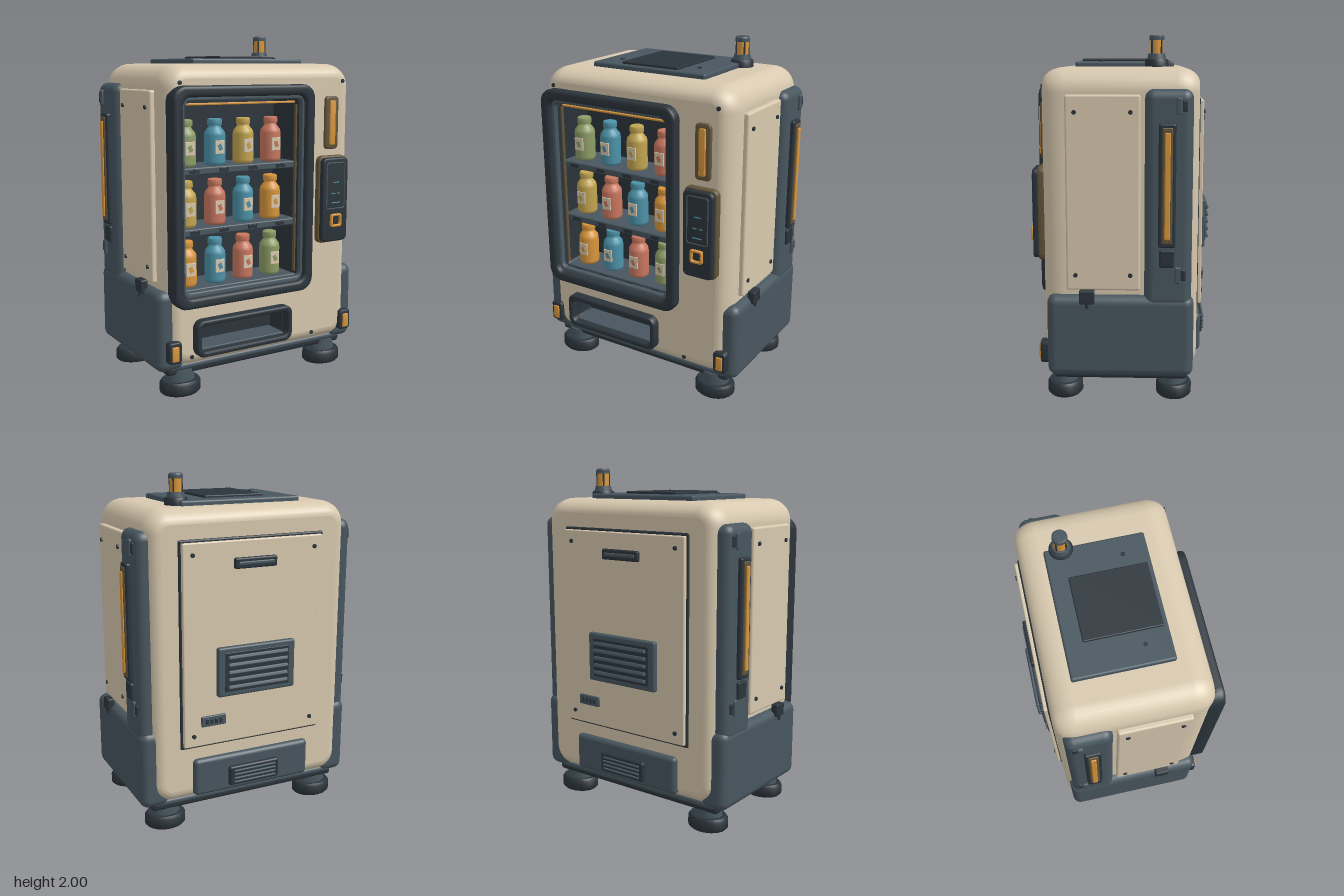
import * as THREE from 'three';
import { toCreasedNormals } from 'three/addons/utils/BufferGeometryUtils.js';
import { RoundedBoxGeometry } from 'three/addons/geometries/RoundedBoxGeometry.js';

const mat = (name, color) => Object.assign(new THREE.MeshStandardMaterial({ color }), { name });
const M = {
  cream: mat('cream', 0xd8c9af), slate: mat('slate', 0x48565f), dark: mat('charcoal', 0x2b343b),
  amber: mat('amber', 0xd8963c), bronze: mat('bronze', 0x64553a), green: mat('green', 0x8d9d66),
  blue: mat('blue', 0x4c92a8), yellow: mat('yellow', 0xc2a550), coral: mat('coral', 0xc8775f),
};

function add(parent, name, geometry, material) {
  const mesh = new THREE.Mesh(geometry, material);
  mesh.name = name;
  parent.add(mesh);
  return mesh;
}

// Rounded box given by its extents; the order of each pair does not matter
function box(parent, name, material, x, y, z, r = 0.008) {
  const size = [x, y, z].map(([a, b]) => Math.abs(b - a));
  const geo = new RoundedBoxGeometry(...size, 3, Math.min(r, Math.min(...size) * 0.49));
  const mesh = add(parent, name, geo, material);
  mesh.position.set((x[0] + x[1]) / 2, (y[0] + y[1]) / 2, (z[0] + z[1]) / 2);
  return mesh;
}

// Points of a rounded rectangle, counter-clockwise, optionally inset
function rectPoints([x0, x1, y0, y1], r, inset = 0, n = 8) {
  const pts = [];
  [[x1 - r, y1 - r], [x0 + r, y1 - r], [x0 + r, y0 + r], [x1 - r, y0 + r]].forEach(([cx, cy], c) => {
    for (let i = 0; i <= n; i++) {
      const a = (c + i / n) * Math.PI / 2;
      pts.push(new THREE.Vector2(cx + (r - inset) * Math.cos(a), cy + (r - inset) * Math.sin(a)));
    }
  });
  return pts;
}

// Front-facing plate with rounded corners, softened edges and an optional opening
function slab(parent, name, material, rect, z0, z1, r, hole, holeR = 0.03, b = 0.01) {
  const shape = new THREE.Shape(rectPoints(rect, r));
  if (hole) shape.holes.push(new THREE.Path(rectPoints(hole, holeR).reverse()));
  const geo = new THREE.ExtrudeGeometry(shape, {
    depth: z1 - z0 - 2 * b, bevelThickness: b, bevelSize: b, bevelOffset: -b, bevelSegments: 3,
  });
  geo.translate(0, 0, z0 + b);
  return add(parent, name, toCreasedNormals(geo, 0.6), material);
}

// Bolt head pointing along an axis
function bolt(parent, x, y, z, axis) {
  const mesh = add(parent, 'bolt', new THREE.CylinderGeometry(0.012, 0.012, 0.014, 12), M.dark);
  if (axis === 'x') mesh.rotation.z = Math.PI / 2;
  if (axis === 'z') mesh.rotation.x = Math.PI / 2;
  mesh.position.set(x, y, z);
}

const lathe = pts => new THREE.LatheGeometry(pts.map(p => new THREE.Vector2(...p)), 28);
const WINDOW = [-0.535, 0.26, 0.575, 1.665], TRAY = [-0.44, 0.14, 0.26, 0.41];

// Cabinet shell: rounded outlines lofted front to back, with openings in the front face
function cabinet(parent) {
  const rect = [-0.62, 0.62, 0.16, 1.83], R = 0.13, inset = 0.08, steps = 8;
  const pos = [], idx = [];
  let n = 0;
  for (const s of [-1, 1]) for (let i = 0; i <= steps; i++) {
    const t = (s < 0 ? 1 - i / steps : i / steps) * Math.PI / 2;
    const ring = rectPoints(rect, R, inset * (1 - Math.cos(t)));
    n = ring.length;
    ring.forEach(p => pos.push(p.x, p.y, s * (0.3 + 0.12 * Math.sin(t))));
  }
  for (let k = 0; k < 2 * steps + 1; k++) for (let i = 0; i < n; i++) {
    const a = k * n + i, b = k * n + (i + 1) % n;
    idx.push(a, b, b + n, a, b + n, a + n);
  }
  const geo = new THREE.BufferGeometry();
  geo.setAttribute('position', new THREE.Float32BufferAttribute(pos, 3));
  geo.setIndex(idx);
  geo.computeVertexNormals();
  add(parent, 'cabinetShell', geo, M.cream);
  const front = new THREE.Shape(rectPoints(rect, R, inset));
  for (const h of [WINDOW, TRAY]) front.holes.push(new THREE.Path(rectPoints(h, 0.03).reverse()));
  add(parent, 'cabinetFront', new THREE.ShapeGeometry(front), M.cream).position.z = 0.42;
  const back = add(parent, 'cabinetBack', new THREE.ShapeGeometry(new THREE.Shape(rectPoints(rect, R, inset))), M.cream);
  back.rotation.y = Math.PI;
  back.position.z = -0.42;
}

function bottle(parent, x, y, z, material) {
  const g = new THREE.Group();
  g.name = 'bottle';
  g.position.set(x, y, z);
  parent.add(g);
  add(g, 'bottleBody', lathe([[0, 0], [0.05, 0], [0.058, 0.008], [0.06, 0.02], [0.06, 0.165], [0.056, 0.185],
    [0.04, 0.205], [0.034, 0.215], [0.034, 0.222]]), material);
  add(g, 'bottleCap', lathe([[0.034, 0.22], [0.041, 0.222], [0.041, 0.25], [0.036, 0.257], [0, 0.257]]), material);
  box(g, 'bottleLabel', M.cream, [-0.029, 0.029], [0.065, 0.14], [0.054, 0.063], 0.002);
  box(g, 'labelMark', material, [-0.012, 0.012], [0.085, 0.12], [0.06, 0.065], 0.001).rotation.z = 0.4;
}

function displayWindow(parent) {
  const g = new THREE.Group();
  g.name = 'displayWindow';
  parent.add(g);
  slab(g, 'windowFrame', M.dark, [-0.6, 0.31, 0.515, 1.715], 0.37, 0.475, 0.08, [-0.54, 0.25, 0.575, 1.655], 0.05, 0.018);
  slab(g, 'windowLining', M.slate, [-0.555, 0.265, 0.56, 1.67], 0.41, 0.445, 0.05, [-0.52, 0.235, 0.6, 1.635], 0.03, 0.006);
  slab(g, 'compartmentWalls', M.dark, [-0.57, 0.29, 0.54, 1.69], 0.11, 0.41, 0.04, [-0.53, 0.25, 0.58, 1.655], 0.02, 0.004);
  box(g, 'compartmentBack', M.dark, [-0.56, 0.28], [0.55, 1.68], [0.1, 0.13]);
  box(g, 'topLight', M.amber, [-0.49, 0.21], [1.61, 1.622], [0.39, 0.41], 0.004);
  for (const x of [-0.508, 0.228]) box(g, 'sideLight', M.bronze, [x - 0.006, x + 0.006], [0.62, 1.6], [0.38, 0.4], 0.004);
  const rows = [['green', 'blue', 'yellow', 'coral'], ['yellow', 'coral', 'blue', 'amber'], ['amber', 'blue', 'coral', 'green']];
  rows.forEach((row, r) => {
    const y = 1.272 - r * 0.337;
    box(g, 'shelf', M.slate, [-0.53, 0.25], [y - 0.025, y], [0.13, 0.37]);
    box(g, 'shelfLip', M.slate, [-0.53, 0.25], [y - 0.037, y + 0.003], [0.365, 0.385]);
    row.forEach((color, c) => {
      const x = -0.433 + c * 0.187;
      bottle(g, x, y, 0.28, M[color]);
      box(g, 'shelfTag', M.dark, [x - 0.03, x + 0.03], [y - 0.028, y - 0.006], [0.382, 0.39], 0.002);
    });
  });
}

function frontParts(parent) {
  // Collection tray
  slab(parent, 'trayFrame', M.dark, [-0.467, 0.17, 0.228, 0.44], 0.4, 0.472, 0.05, [-0.435, 0.138, 0.262, 0.407], 0.03, 0.012);
  slab(parent, 'trayWalls', M.dark, [-0.47, 0.17, 0.235, 0.435], 0.27, 0.415, 0.03, [-0.43, 0.132, 0.265, 0.402], 0.02, 0.004);
  box(parent, 'trayBack', M.dark, [-0.46, 0.16], [0.24, 0.43], [0.26, 0.29]);
  box(parent, 'trayFloor', M.slate, [-0.42, 0.125], [0.262, 0.274], [0.28, 0.44], 0.004);
  // Status light
  slab(parent, 'statusLightHousing', M.bronze, [0.41, 0.506, 1.335, 1.645], 0.4, 0.437, 0.025);
  slab(parent, 'statusLight', M.amber, [0.438, 0.478, 1.36, 1.62], 0.42, 0.446, 0.01, null, 0, 0.005);
  // Control panel
  slab(parent, 'controlPanelBase', M.bronze, [0.356, 0.56, 0.78, 1.298], 0.4, 0.452, 0.035);
  slab(parent, 'controlPanelFace', M.dark, [0.366, 0.55, 0.79, 1.288], 0.44, 0.482, 0.03);
  slab(parent, 'screenBezel', M.slate, [0.39, 0.525, 0.985, 1.262], 0.47, 0.486, 0.015, [0.397, 0.518, 0.992, 1.255], 0.01, 0.003);
  [[0.44, 0.48, 1.14], [0.43, 0.455, 1.075], [0.47, 0.49, 1.075], [0.43, 0.49, 1.02]].forEach(([a, b, y]) =>
    box(parent, 'screenMark', M.blue, [a, b], [y, y + 0.006], [0.479, 0.485], 0.001));
  slab(parent, 'button', M.amber, [0.42, 0.497, 0.88, 0.957], 0.47, 0.498, 0.012, [0.433, 0.484, 0.893, 0.944], 0.008, 0.004);
  // Corner marker lights
  for (const s of [-1, 1]) {
    slab(parent, 'markerHousing', M.dark, [s * 0.585 - 0.04, s * 0.585 + 0.04, 0.212, 0.336], 0.33, 0.442, 0.018);
    slab(parent, 'markerLight', M.amber, [s * 0.587 - 0.02, s * 0.587 + 0.02, 0.228, 0.312], 0.42, 0.45, 0.006, null, 0, 0.004);
  }
  for (const [x, y] of [[-0.535, 1.73], [0.54, 1.73], [0.345, 0.228], [-0.475, 0.228]]) bolt(parent, x, y, 0.418, 'z');
}

function sideParts(parent, s) {
  const g = new THREE.Group();
  g.name = s > 0 ? 'leftSide' : 'rightSide';
  parent.add(g);
  const X = (a, b) => [s * a, s * b];
  box(g, 'skirt', M.slate, X(0.5, 0.67), [0.15, 0.61], [-0.4, 0.4], 0.05);
  box(g, 'rearPillar', M.slate, X(0.52, 0.668), [0.55, 1.72], [-0.385, -0.13], 0.05);
  box(g, 'sidePanel', M.cream, X(0.6, 0.648), [0.64, 1.69], [-0.108, 0.29], 0.012);
  for (const y of [0.725, 1.6]) for (const z of [-0.055, 0.24]) bolt(g, s * 0.649, y, z, 'x');
  box(g, 'pillarLightFrame', M.dark, X(0.65, 0.692), [0.888, 1.545], [-0.295, -0.203], 0.012);
  box(g, 'pillarLightTrim', M.bronze, X(0.68, 0.7), [0.91, 1.525], [-0.277, -0.221], 0.008);
  box(g, 'pillarLight', M.amber, X(0.69, 0.708), [0.935, 1.5], [-0.265, -0.235], 0.006);
  box(g, 'pillarSwitch', M.dark, X(0.65, 0.684), [0.778, 0.875], [-0.29, -0.21], 0.01);
  for (const y of [0.735, 1.633]) {
    box(g, 'hinge', M.slate, X(0.65, 0.682), [y - 0.045, y + 0.045], [-0.325, -0.293], 0.008);
    box(g, 'hingePin', M.dark, X(0.65, 0.675), [y - 0.03, y + 0.03], [-0.352, -0.325], 0.006);
  }
  box(g, 'panelLatch', M.dark, X(0.64, 0.684), [0.57, 0.645], [0.137, 0.22], 0.008);
  box(g, 'latchTab', M.dark, X(0.65, 0.68), [0.545, 0.6], [0.17, 0.187], 0.005);
}

function backParts(parent) {
  box(parent, 'backPanelSeal', M.dark, [-0.445, 0.445], [0.49, 1.67], [-0.4, -0.43], 0.01);
  box(parent, 'backPanel', M.cream, [-0.432, 0.432], [0.505, 1.655], [-0.41, -0.45], 0.008);
  for (const x of [-0.375, 0.375]) for (const y of [0.57, 1.59]) bolt(parent, x, y, -0.452, 'z');
  box(parent, 'backHandle', M.dark, [-0.13, 0.13], [1.5, 1.56], [-0.44, -0.47], 0.01);
  box(parent, 'handleGrip', M.slate, [-0.11, 0.11], [1.52, 1.54], [-0.46, -0.476], 0.006);
  // Vent with sloping slats
  box(parent, 'ventFrame', M.slate, [-0.25, 0.235], [0.785, 1.07], [-0.44, -0.478], 0.012);
  box(parent, 'ventRecess', M.dark, [-0.21, 0.195], [0.815, 1.04], [-0.47, -0.482], 0.004);
  for (let i = 0; i < 5; i++)
    box(parent, 'ventSlat', M.slate, [-0.195, 0.18], [0.83 + i * 0.043, 0.852 + i * 0.043], [-0.475, -0.5], 0.006).rotation.x = 0.35;
  // Small socket plate
  box(parent, 'socketPlate', M.slate, [0.18, 0.33], [0.62, 0.68], [-0.44, -0.463], 0.006);
  for (let i = 0; i < 4; i++) box(parent, 'socket', M.dark, [0.205 + i * 0.028, 0.222 + i * 0.028], [0.635, 0.665], [-0.46, -0.467], 0.003);
  // Lower service cover with grille
  box(parent, 'serviceCover', M.slate, [-0.37, 0.37], [0.2, 0.42], [-0.38, -0.452], 0.025);
  box(parent, 'grillePlate', M.dark, [-0.16, 0.16], [0.235, 0.35], [-0.44, -0.475], 0.012);
  for (let i = 0; i < 4; i++) box(parent, 'grilleBar', M.slate, [-0.135, 0.135], [0.252 + i * 0.023, 0.262 + i * 0.023], [-0.47, -0.486], 0.004);
}

function topParts(parent) {
  box(parent, 'roofPanel', M.slate, [-0.37, 0.365], [1.81, 1.858], [-0.285, 0.257], 0.012);
  box(parent, 'roofHatch', M.dark, [-0.185, 0.18], [1.85, 1.872], [-0.187, 0.233], 0.006);
  for (const x of [-0.26, 0.255]) bolt(parent, x, 1.857, 0.12, 'y');
  // Beacon
  const g = new THREE.Group();
  g.name = 'beacon';
  g.position.set(0.355, 0, -0.19);
  parent.add(g);
  add(g, 'beaconBase', toCreasedNormals(lathe([[0.065, 1.82], [0.065, 1.862], [0.058, 1.872], [0, 1.872]]), 0.7), M.dark);
  add(g, 'beaconCollar', toCreasedNormals(lathe([[0.052, 1.87], [0.046, 1.9], [0, 1.904]]), 0.7), M.slate);
  add(g, 'beaconLamp', new THREE.CylinderGeometry(0.035, 0.035, 0.08, 24), M.amber).position.y = 1.937;
  add(g, 'beaconCap', toCreasedNormals(lathe([[0, 1.972], [0.041, 1.972], [0.041, 1.992], [0.034, 2], [0, 2]]), 0.7), M.slate);
  for (let i = 0; i < 4; i++) {
    const a = (i + 0.5) * Math.PI / 2;
    const post = add(g, 'beaconPost', new THREE.CylinderGeometry(0.005, 0.005, 0.08, 8), M.dark);
    post.position.set(0.036 * Math.cos(a), 1.937, 0.036 * Math.sin(a));
  }
}

function feet(parent) {
  box(parent, 'basePlate', M.dark, [-0.6, 0.6], [0.115, 0.17], [-0.37, 0.37], 0.02);
  box(parent, 'baseTrim', M.slate, [-0.59, 0.59], [0.145, 0.185], [-0.385, 0.385], 0.018);
  for (const x of [-0.497, 0.497]) for (const z of [-0.298, 0.318]) {
    const g = new THREE.Group();
    g.name = 'foot';
    g.position.set(x, 0, z);
    g.scale.z = 0.83;
    parent.add(g);
    add(g, 'footPad', toCreasedNormals(lathe([[0, 0], [0.108, 0], [0.12, 0.012], [0.12, 0.062], [0.108, 0.078], [0, 0.078]]), 0.9), M.dark);
    add(g, 'footStem', new THREE.CylinderGeometry(0.078, 0.086, 0.07, 28), M.slate).position.y = 0.108;
  }
}

export function createModel() {
  const model = new THREE.Group();
  model.name = 'vendingMachine';
  cabinet(model);
  displayWindow(model);
  frontParts(model);
  for (const s of [-1, 1]) sideParts(model, s);
  backParts(model);
  topParts(model);
  feet(model);
  return model;
}
